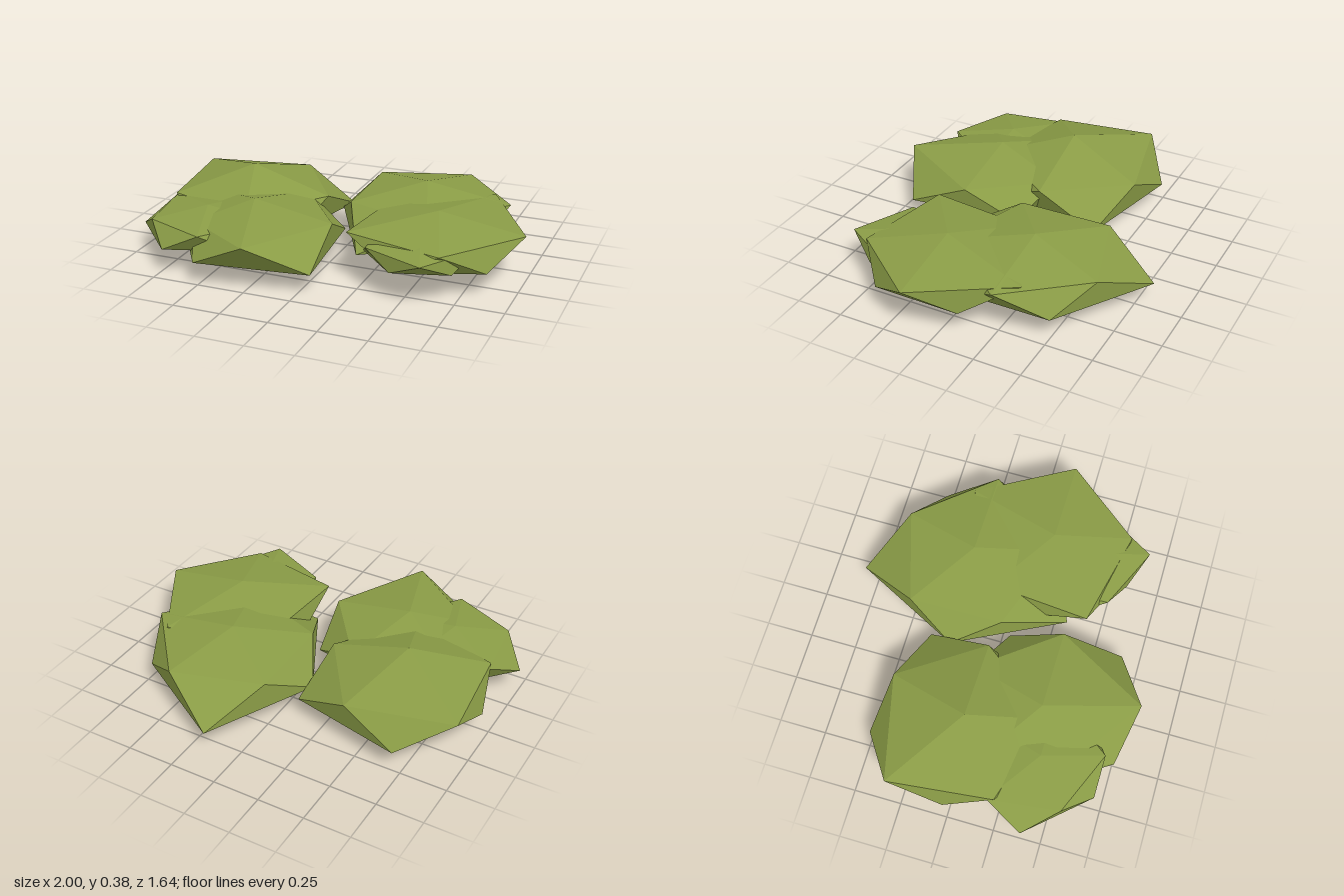
import * as THREE from 'three';

const leafGreen = new THREE.MeshStandardMaterial({ color: 0x8a9c46 });
leafGreen.name = 'leafGreen';

const MID = 0.19;    // height of every clump's middle
const SLOPE = 0.15;  // ring height per unit of ring radius

// Each clump: a squashed twenty-sided ball with uneven corner radii.
// upper ring corners sit at 0, 72, 144... degrees, lower ones halfway between.
const clumps = [
  { name: 'backRightClump', x: -0.55, z: -0.03, top: 0.385, bottom: 0.035,
    upper: [0.43, 0.42, 0.43, 0.51, 0.45], lower: [0.42, 0.42, 0.42, 0.50, 0.56] },
  { name: 'frontRightClump', x: -0.38, z: 0.33, top: 0.333, bottom: 0.045,
    upper: [0.43, 0.51, 0.32, 0.40, 0.42], lower: [0.55, 0.45, 0.42, 0.42, 0.48] },
  { name: 'smallRightClump', x: -0.62, z: 0.39, top: 0.285, bottom: 0.08,
    upper: [0.33, 0.33, 0.29, 0.35, 0.33], lower: [0.33, 0.33, 0.38, 0.33, 0.33] },
  { name: 'backLeftClump', x: 0.36, z: -0.25, top: 0.333, bottom: 0.003,
    upper: [0.46, 0.44, 0.42, 0.43, 0.42], lower: [0.44, 0.60, 0.48, 0.60, 0.435] },
  { name: 'frontLeftClump', x: 0.55, z: 0.14, top: 0.33, bottom: 0.05,
    upper: [0.45, 0.42, 0.48, 0.42, 0.52], lower: [0.395, 0.40, 0.39, 0.42, 0.40] },
  { name: 'smallLeftClump', x: 0.52, z: 0.34, top: 0.28, bottom: 0.09,
    upper: [0.29, 0.33, 0.28, 0.29, 0.29], lower: [0.26, 0.25, 0.30, 0.28, 0.28] },
];

function clumpGeometry({ top, bottom, upper, lower }) {
  const ring = (radii, turn, side) => radii.map((r, i) => {
    const a = (i + turn) * Math.PI * 0.4;
    return [r * Math.cos(a), MID + side * SLOPE * r, r * Math.sin(a)];
  });
  const U = ring(upper, 0, 1);
  const L = ring(lower, 0.5, -1);
  const apex = [0, top, 0];
  const base = [0, bottom, 0];
  const corners = [];
  for (let i = 0; i < 5; i++) {
    const j = (i + 1) % 5;
    corners.push(apex, U[j], U[i]);  // cap
    corners.push(U[i], U[j], L[i]);  // side band
    corners.push(L[i], U[j], L[j]);
    corners.push(base, L[i], L[j]);  // underside
  }
  const geometry = new THREE.BufferGeometry();
  geometry.setAttribute('position', new THREE.Float32BufferAttribute(corners.flat(), 3));
  geometry.computeVertexNormals();   // unshared corners keep the facets flat
  return geometry;
}

export function createModel() {
  const model = new THREE.Group();
  model.name = 'foliage';
  for (const clump of clumps) {
    const mesh = new THREE.Mesh(clumpGeometry(clump), leafGreen);
    mesh.name = clump.name;
    mesh.position.set(clump.x, 0, clump.z);
    model.add(mesh);
  }
  return model;
}
